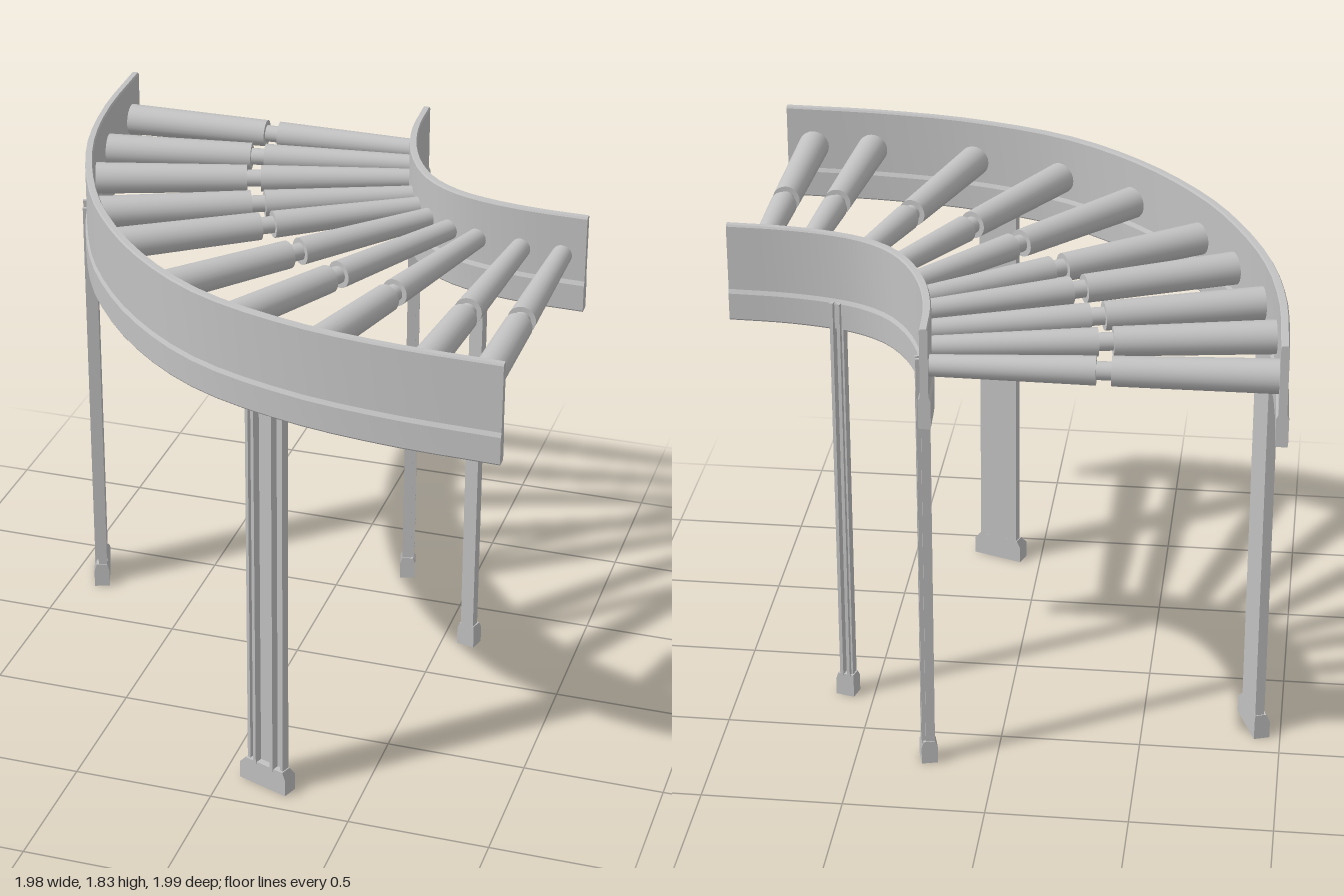
import * as THREE from 'three';
import { toCreasedNormals } from 'three/addons/utils/BufferGeometryUtils.js';

const steel = new THREE.MeshStandardMaterial({ color: 0xc2c2c2 });
steel.name = 'steel grey';

function addMesh(parent, name, geometry) {
  const mesh = new THREE.Mesh(geometry, steel);
  mesh.name = name;
  parent.add(mesh);
  return mesh;
}

// Rail section as (outward offset, height): a thin web on a thicker lower band
const railProfile = [
  [-0.018, 1.475], [0.018, 1.475], [0.021, 1.48], [0.021, 1.575], [0.014, 1.59], [0.014, 1.825],
  [0.010, 1.832], [-0.010, 1.832], [-0.014, 1.825], [-0.014, 1.59], [-0.021, 1.575], [-0.021, 1.48],
];

// Sweeps the rail section along a plan path of [x, z] points
function railGeometry(path, segments) {
  const curve = new THREE.CatmullRomCurve3(path.map(([x, z]) => new THREE.Vector3(x, 0, z)));
  const n = railProfile.length;
  const positions = [];
  const index = [];
  for (let i = 0; i <= segments; i++) {
    const p = curve.getPointAt(i / segments);
    const t = curve.getTangentAt(i / segments);
    // run square out of both ends
    if (i === 0) t.set(0, 0, 1);
    if (i === segments) t.set(1, 0, 0);
    for (const [o, y] of railProfile) positions.push(p.x - t.z * o, y, p.z + t.x * o);
  }
  for (let i = 0; i < segments; i++) {
    for (let j = 0; j < n; j++) {
      const a = i * n + j;
      const b = i * n + (j + 1) % n;
      index.push(a, a + n, b, b, a + n, b + n);
    }
  }
  // end caps
  const outline = railProfile.map(([o, y]) => new THREE.Vector2(o, y));
  const last = segments * n;
  for (const [a, b, c] of THREE.ShapeUtils.triangulateShape(outline, [])) {
    index.push(a, b, c, last + a, last + c, last + b);
  }
  const geometry = new THREE.BufferGeometry();
  geometry.setAttribute('position', new THREE.Float32BufferAttribute(positions, 3));
  geometry.setIndex(index);
  return toCreasedNormals(geometry, 0.4);
}

// Conical roller in two sections joined by a narrow collar
function addRoller(parent, [x0, z0, x1, z1]) {
  const roller = new THREE.Group();
  roller.name = 'roller';
  const outer = new THREE.Vector3(x0, 1.68, z0);
  const inner = new THREE.Vector3(x1, 1.68, z1);
  const length = outer.distanceTo(inner);
  const half = length / 2;
  const section = (name, rTop, rBottom, from, to) => {
    const g = new THREE.CylinderGeometry(rTop, rBottom, to - from, 24);
    g.translate(0, (from + to) / 2, 0);
    addMesh(roller, name, g);
  };
  section('outerRollerSection', 0.050, 0.058, -half, -0.025);
  section('rollerCollar', 0.031, 0.031, -0.035, 0.035);
  section('innerRollerSection', 0.036, 0.049, 0.025, half);
  roller.position.copy(outer).lerp(inner, 0.5);
  roller.quaternion.setFromUnitVectors(new THREE.Vector3(0, 1, 0), inner.sub(outer).normalize());
  parent.add(roller);
}

// Ribbed post on a bevelled foot; local +z points away from the rollers
function addLeg(parent, name, { x, z, nx, nz, width, footWidth, ribs }) {
  const leg = new THREE.Group();
  leg.name = name;
  const box = (part, w, h, d, px, py, pz) =>
    addMesh(leg, part, new THREE.BoxGeometry(w, h, d)).position.set(px, py, pz);
  box('legPlate', width, 1.42, 0.016, 0, 0.77, -0.006);
  for (const s of [-1, 1]) {
    box('legFlange', 0.012, 1.42, 0.026, s * (width / 2 - 0.006), 0.77, 0.005);
    box('legRib', 0.012, 1.51, 0.032, s * ribs, 0.825, 0.016);
  }
  // foot block with its upper edges drawn in
  box('footBlock', footWidth, 0.065, 0.058, 0, 0.0325, 0.006);
  const top = new THREE.BoxGeometry(footWidth, 0.02, 0.058);
  const p = top.attributes.position;
  for (let i = 0; i < p.count; i++) {
    if (p.getY(i) > 0) p.setXYZ(i, p.getX(i) * (width + 0.008) / footWidth, p.getY(i), p.getZ(i) * 0.7);
  }
  addMesh(leg, 'footBevel', top.toNonIndexed()).position.set(0, 0.075, 0.006);
  top.computeVertexNormals();
  leg.position.set(x, 0, z);
  leg.rotation.y = Math.atan2(nx, nz);
  parent.add(leg);
}

export function createModel() {
  const model = new THREE.Group();
  model.name = 'curvedRollerConveyor';

  // Curved side rails
  addMesh(model, 'outerRail', railGeometry([
    [-0.97, -1], [-0.95, -0.64], [-0.89, -0.32], [-0.775, -0.01], [-0.64, 0.24],
    [-0.40, 0.535], [-0.10, 0.765], [0.27, 0.9], [0.62, 0.955], [0.99, 0.972],
  ], 28));
  addMesh(model, 'innerRail', railGeometry([
    [0.19, -1], [0.205, -0.8], [0.25, -0.61], [0.32, -0.455], [0.40, -0.35],
    [0.50, -0.28], [0.61, -0.24], [0.78, -0.21], [0.99, -0.2],
  ], 24));

  // Rollers, each from outer rail to inner rail as x, z, x, z
  const rollers = [
    [-0.965, -0.9, 0.19, -0.945], [-0.94, -0.595, 0.195, -0.8], [-0.885, -0.325, 0.235, -0.675],
    [-0.765, -0.04, 0.285, -0.53], [-0.63, 0.21, 0.325, -0.44], [-0.365, 0.52, 0.39, -0.365],
    [-0.08, 0.73, 0.48, -0.285], [0.26, 0.865, 0.595, -0.255], [0.66, 0.95, 0.755, -0.205],
    [0.888, 0.96, 0.905, -0.195],
  ];
  for (const r of rollers) addRoller(model, r);

  // Wide legs under the outer rail, narrow legs under the inner rail
  const wide = { width: 0.155, footWidth: 0.2, ribs: 0.037 };
  const narrow = { width: 0.052, footWidth: 0.07, ribs: 0.013 };
  addLeg(model, 'outerSideLeg', { x: -0.895, z: -0.315, nx: -0.94, nz: 0.34, ...wide });
  addLeg(model, 'outerFrontLeg', { x: 0.165, z: 0.855, nx: -0.34, nz: 0.94, ...wide });
  addLeg(model, 'innerBackLeg', { x: 0.235, z: -0.67, nx: 0.97, nz: -0.25, ...narrow });
  addLeg(model, 'innerFrontLeg', { x: 0.598, z: -0.248, nx: 0.25, nz: -0.97, ...narrow });
  return model;
}
